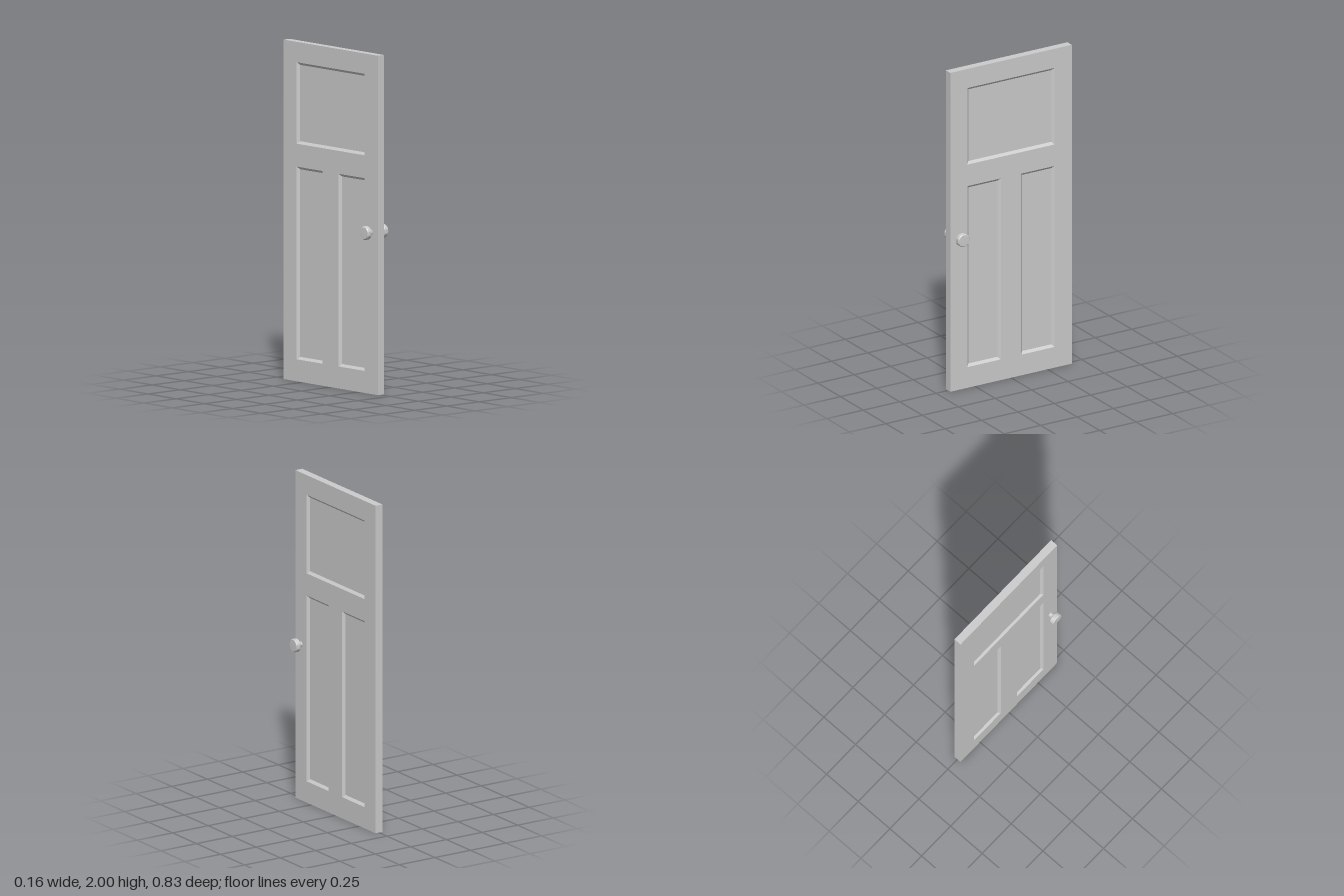
import * as THREE from 'three';
import { toCreasedNormals } from 'three/addons/utils/BufferGeometryUtils.js';

const T = 0.024;      // half thickness of the door
const DEPTH = 0.014;  // depth of the panel recesses
const BEVEL = 0.015;  // width of the sloped moulding
const DOOR = [-0.417, 0, 0.417, 2];
const PANELS = [
  [-0.3, 1.4, 0.3, 1.88],
  [-0.3, 0.13, -0.07, 1.265],
  [0.07, 0.13, 0.3, 1.265],
];

const corners = ([x0, y0, x1, y1]) => [[x0, y0], [x1, y0], [x1, y1], [x0, y1]];
const inset = ([x0, y0, x1, y1], d) => [x0 + d, y0 + d, x1 - d, y1 - d];
const path = (rect, Type) => new Type(corners(rect).map(([x, y]) => new THREE.Vector2(x, y)));

// Four mitred quads joining one rectangle to another
function ring(rectA, zA, rectB, zB) {
  const a = corners(rectA).map(([x, y]) => [x, y, zA]);
  const b = corners(rectB).map(([x, y]) => [x, y, zB]);
  const pos = [];
  for (let i = 0; i < 4; i++) {
    const j = (i + 1) % 4;
    pos.push(...a[i], ...a[j], ...b[j], ...a[i], ...b[j], ...b[i]);
  }
  const geo = new THREE.BufferGeometry();
  geo.setAttribute('position', new THREE.Float32BufferAttribute(pos, 3));
  geo.computeVertexNormals();
  return geo;
}

export function createModel() {
  const model = new THREE.Group();
  model.name = 'panelDoor';
  const material = new THREE.MeshStandardMaterial({ color: 0xcccccc });

  const add = (parent, name, geo) => {
    const mesh = new THREE.Mesh(geo, material);
    mesh.name = name;
    parent.add(mesh);
    return mesh;
  };

  // Stem and flat round knob with softened rims
  const profile = [
    [0.016, 0], [0.016, 0.027], [0.036, 0.027], [0.04, 0.031],
    [0.04, 0.052], [0.035, 0.058], [0, 0.059],
  ].map(([r, h]) => new THREE.Vector2(r, h));
  const knobGeo = toCreasedNormals(new THREE.LatheGeometry(profile, 32), 0.5).rotateX(Math.PI / 2);

  // Each half is built facing +z, then turned to face +x or -x
  for (const side of [1, -1]) {
    const half = new THREE.Group();
    half.name = side > 0 ? 'leftHalf' : 'rightHalf';
    half.rotation.y = side * Math.PI / 2;
    model.add(half);

    // Stiles and rails, with the outer edge of the door
    const face = path(DOOR, THREE.Shape);
    face.holes = PANELS.map((p) => path(p, THREE.Path));
    add(half, 'frameFace', new THREE.ShapeGeometry(face)).position.z = T;
    add(half, 'doorEdge', ring(DOOR, 0, DOOR, T));

    // Recessed panels with sloped mouldings
    for (const p of PANELS) {
      const inner = inset(p, BEVEL);
      add(half, 'moulding', ring(p, T, inner, T - DEPTH));
      add(half, 'panel', new THREE.ShapeGeometry(path(inner, THREE.Shape))).position.z = T - DEPTH;
    }

    add(half, 'knob', knobGeo).position.set(-side * 0.357, 0.953, T - 0.001);
  }
  return model;
}
